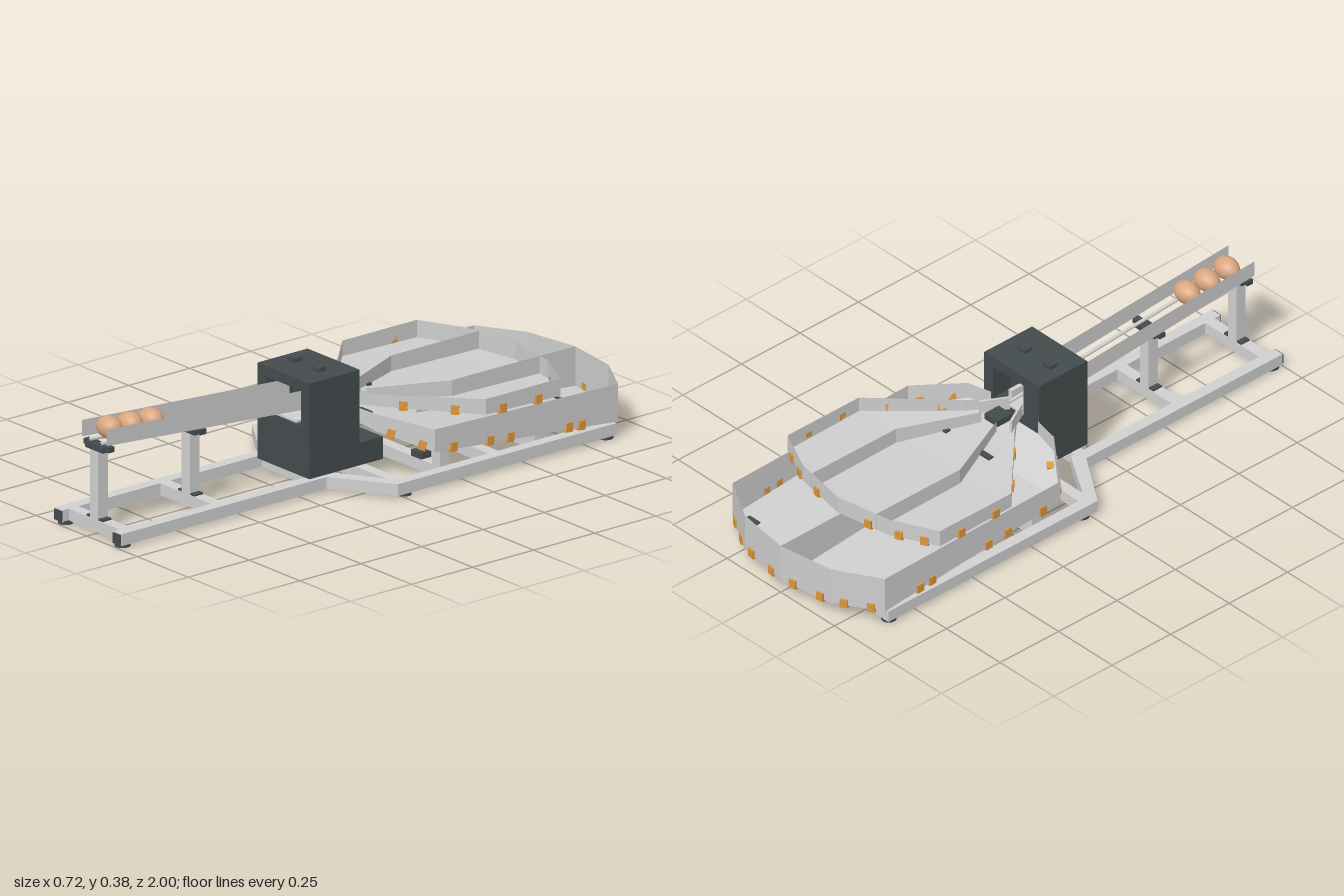
import * as THREE from 'three';

const mat = (name, color, double) => {
  const m = new THREE.MeshStandardMaterial({ color });
  m.name = name;
  if (double) m.side = THREE.DoubleSide;
  return m;
};

export function createModel() {
  const root = new THREE.Group();
  root.name = 'eggSorter';
  const steel = mat('light steel', 0xd0d0d0);
  const sheet = mat('tray sheet', 0xcdcdcd, true);
  const dark = mat('dark housing', 0x444b4d);
  const orange = mat('orange clip', 0xdc963a);
  const shell = mat('egg shell', 0xd9a680);

  const V = (x, y, z) => new THREE.Vector3(x, y, z);
  const add = (name, geo, m, parent = root) => {
    const o = new THREE.Mesh(geo, m);
    o.name = name;
    parent.add(o);
    return o;
  };
  // box given by its limits on each axis
  const box = (name, m, x0, x1, y0, y1, z0, z1, parent) => {
    const o = add(name, new THREE.BoxGeometry(x1 - x0, y1 - y0, z1 - z0), m, parent);
    o.position.set((x0 + x1) / 2, (y0 + y1) / 2, (z0 + z1) / 2);
    return o;
  };
  // flat-shaded sheet between two polylines
  const strip = (name, a, b, parent) => {
    const p = [];
    for (let i = 0; i + 1 < a.length; i++) {
      for (const v of [a[i], b[i], a[i + 1], b[i], b[i + 1], a[i + 1]]) p.push(v.x, v.y, v.z);
    }
    const g = new THREE.BufferGeometry();
    g.setAttribute('position', new THREE.Float32BufferAttribute(p, 3));
    g.computeVertexNormals();
    return add(name, g, sheet, parent);
  };

  // ---- base frame ----
  const frame = new THREE.Group();
  frame.name = 'baseFrame';
  root.add(frame);
  for (const s of [-1, 1]) {
    box('narrowRail', steel, s * 0.145 - 0.02, s * 0.145 + 0.02, 0.01, 0.05, 0.13, 0.995, frame);
    box('wideRail', steel, s * 0.34 - 0.02, s * 0.34 + 0.02, 0.01, 0.05, -0.87, 0.02, frame);
    box('railEndCap', dark, s * 0.145 - 0.018, s * 0.145 + 0.018, 0.012, 0.047, 0.995, 1, frame);
    // slanted link between wide and narrow rails
    const link = new THREE.Shape([[0.36, -0.02], [0.36, 0.025], [0.165, 0.155], [0.125, 0.155], [0.125, 0.125]]
      .map(([x, z]) => new THREE.Vector2(s * x, -z)));
    const d = add('slantedLink', new THREE.ExtrudeGeometry(link, { depth: 0.04, bevelEnabled: false }), steel, frame);
    d.rotation.x = -Math.PI / 2;
    d.position.y = 0.01;
    for (const [x, z] of [[0.14, 0.97], [0.335, -0.02], [0.335, -0.845]]) {
      const f = add('foot', new THREE.CylinderGeometry(0.025, 0.025, 0.012, 16), dark, frame);
      f.position.set(s * x, 0.006, z);
    }
  }
  for (const z of [0.95, 0.575, 0.16]) box('narrowCrossbar', steel, -0.125, 0.125, 0.01, 0.05, z - 0.02, z + 0.02, frame);
  for (const z of [0, -0.2, -0.4, -0.6, -0.85]) box('wideCrossbar', steel, -0.32, 0.32, 0.01, 0.049, z - 0.02, z + 0.02, frame);

  // ---- feed chute with posts ----
  const feed = new THREE.Group();
  feed.name = 'feedChute';
  root.add(feed);
  for (const [z, top] of [[0.95, 0.28], [0.575, 0.255]]) {
    box('post', steel, -0.02, 0.02, 0.05, top, z - 0.02, z + 0.02, feed);
    box('postBracket', dark, -0.045, 0.043, top, top + 0.018, z - 0.02, z + 0.02, feed);
    for (const s of [-1, 1]) {
      box('bracketArm', dark, s * 0.045 - 0.018, s * 0.045 + 0.018, top + 0.005, top + 0.022, z - 0.012, z + 0.012, feed);
      box('postFoot', dark, s * 0.03 - 0.01, s * 0.03 + 0.01, 0.05, 0.056, z - 0.018, z + 0.018, feed);
    }
  }
  for (const s of [-1, 1]) {
    const x = s * 0.06;
    strip('chuteWall', [V(x, 0.31, 0.97), V(x, 0.245, 0.12)], [V(x, 0.365, 0.97), V(x, 0.31, 0.12)], feed);
    const path = new THREE.LineCurve3(V(s * 0.028, 0.309, 0.97), V(s * 0.028, 0.24, 0));
    add('eggRail', new THREE.TubeGeometry(path, 1, 0.006, 10), steel, feed);
  }
  // eggs lying across the rails
  [0.905, 0.82, 0.735].forEach((z, i) => {
    const pts = [];
    for (let k = 0; k <= 20; k++) {
      const t = (k / 20) * Math.PI;
      pts.push(new THREE.Vector2(Math.sin(t) * 0.037 * (1 + 0.08 * Math.cos(t)), -Math.cos(t) * 0.048));
    }
    const e = add('egg', new THREE.LatheGeometry(pts, 28), shell);
    e.rotation.z = Math.PI / 2;
    e.position.set(-0.005, 0.342 - i * 0.006, z);
  });

  // ---- control housing with a passage for the eggs ----
  const housing = new THREE.Group();
  housing.name = 'housing';
  root.add(housing);
  const rect = (C, x0, x1, y0, y1) => new C([[x0, y0], [x1, y0], [x1, y1], [x0, y1]].map(([x, y]) => new THREE.Vector2(x, y)));
  const panel = (z0, z1, left) => {
    const s = rect(THREE.Shape, -0.11, 0.147, 0.125, 0.37);
    s.holes.push(rect(THREE.Path, left, 0.105, 0.215, 0.335));
    add('housingShell', new THREE.ExtrudeGeometry(s, { depth: z1 - z0, bevelEnabled: false }), dark, housing).position.z = z0;
  };
  panel(0.1, 0.21, -0.067);
  panel(0.005, 0.1, -0.037);
  box('housingBase', dark, -0.11, 0.147, 0.05, 0.125, -0.09, 0.211, housing);
  for (const x of [-0.05, 0.068]) box('topButton', dark, x - 0.017, x + 0.017, 0.37, 0.383, 0.09, 0.122, housing);
  box('servo', dark, 0.075, 0.104, 0.222, 0.256, 0.08, 0.13, housing);
  box('pusherPlate', steel, 0.045, 0.06, 0.216, 0.26, 0.03, 0.12, housing);
  box('passageFloor', steel, -0.03, 0.07, 0.215, 0.222, 0.01, 0.2, housing);
  // flaps that steer the eggs into the lanes
  box('gateBlock', dark, -0.03, 0.03, 0.222, 0.245, -0.1, -0.04, housing);
  for (const s of [-1, 1]) {
    const f = box('gateFlap', steel, -0.004, 0.004, 0.215, 0.26, -0.05, 0.05, housing);
    f.position.x = s * 0.05;
    f.position.z = -0.04;
    f.rotation.y = -s * 0.5;
  }

  // ---- sorting trays: outline rows of [x, z, floor y, rim y] ----
  const clip = (a, b, t, s, parent) => {
    const out = V(b.z - a.z, 0, a.x - b.x).normalize().multiplyScalar(-s);
    const dir = b.clone().sub(a).normalize();
    const up = out.clone().cross(dir);
    if (up.y < 0) up.negate();
    const g = new THREE.Group();
    g.name = 'clip';
    g.quaternion.setFromRotationMatrix(new THREE.Matrix4().makeBasis(up.clone().cross(out), up, out));
    g.position.lerpVectors(a, b, t);
    box('clipTab', orange, -0.013, 0.013, -0.006, 0.024, 0, 0.006, g);
    box('clipFoot', orange, -0.013, 0.013, -0.008, -0.002, -0.028, 0.002, g);
    parent.add(g);
  };
  const tray = (name, rows, clips) => {
    const g = new THREE.Group();
    g.name = name;
    root.add(g);
    const edge = (s, k) => rows.map((r) => V(s * r[0], r[k], r[1]));
    strip('trayFloor', edge(-1, 2), edge(1, 2), g);
    for (const s of [-1, 1]) {
      const low = edge(s, 2);
      strip('trayWall', low, edge(s, 3), g);
      clips.forEach((ts, i) => ts.forEach((t) => clip(low[i], low[i + 1], t, s, g)));
    }
    return g;
  };

  const lower = tray('lowerTray', [
    [0.11, 0, 0.19, 0.238], [0.2, -0.015, 0.175, 0.232], [0.355, -0.13, 0.12, 0.196],
    [0.355, -0.88, 0.052, 0.178], [0.2, -0.97, 0.048, 0.178], [0, -1, 0.046, 0.178],
  ], [[], [0.25, 0.78], [0.1, 0.3, 0.41, 0.73, 0.8], [0.25, 0.75], [0.2, 0.75]]);
  strip('centreDivider', [V(0, 0.046, -1), V(0, 0.105, -0.35)], [V(0, 0.178, -1), V(0, 0.185, -0.35)], lower);

  const upper = tray('upperTray', [
    [0.055, -0.04, 0.222, 0.258], [0.12, -0.11, 0.212, 0.252], [0.355, -0.34, 0.198, 0.25],
    [0.355, -0.645, 0.192, 0.25], [0.2, -0.72, 0.191, 0.25], [0, -0.755, 0.19, 0.25],
  ], [[], [0.2, 0.7], [0.22, 0.7], [0.3, 0.8], [0.4]]);
  for (const s of [-1, 1]) {
    const path = [[0.15, -0.73], [0.15, -0.37], [0.035, -0.11]];
    const ys = [0.191, 0.197, 0.213];
    strip('laneDivider', path.map(([x, z], i) => V(s * x, ys[i], z)), path.map(([x, z]) => V(s * x, 0.25, z)), upper);
  }

  // ---- tray supports, with pads showing through the floor ----
  const floorY = (z) => 0.12 + (z + 0.13) * 0.0907;
  for (const s of [-1, 1]) {
    for (const [x, z] of [[0.3, -0.2], [0.3, -0.59]]) {
      box('traySupport', steel, s * x - 0.02, s * x + 0.02, 0.048, floorY(z) - 0.012, z - 0.02, z + 0.02);
    }
    for (const [x, z, w, d] of [[0.305, -0.205, 0.05, 0.045], [0.1, -0.22, 0.055, 0.02], [0.288, -0.86, 0.05, 0.03], [0.085, -0.868, 0.05, 0.012]]) {
      const y = floorY(z);
      box('supportPad', dark, s * x - w / 2, s * x + w / 2, y - 0.006, y + 0.005, z - d / 2, z + d / 2);
    }
    box('lanePad', dark, s * 0.1 - 0.028, s * 0.1 + 0.028, 0.204, 0.212, -0.228, -0.208);
    box('frameBlock', dark, s * 0.203 - 0.025, s * 0.203 + 0.025, 0.049, 0.07, -0.22, -0.18);
  }
  return root;
}
